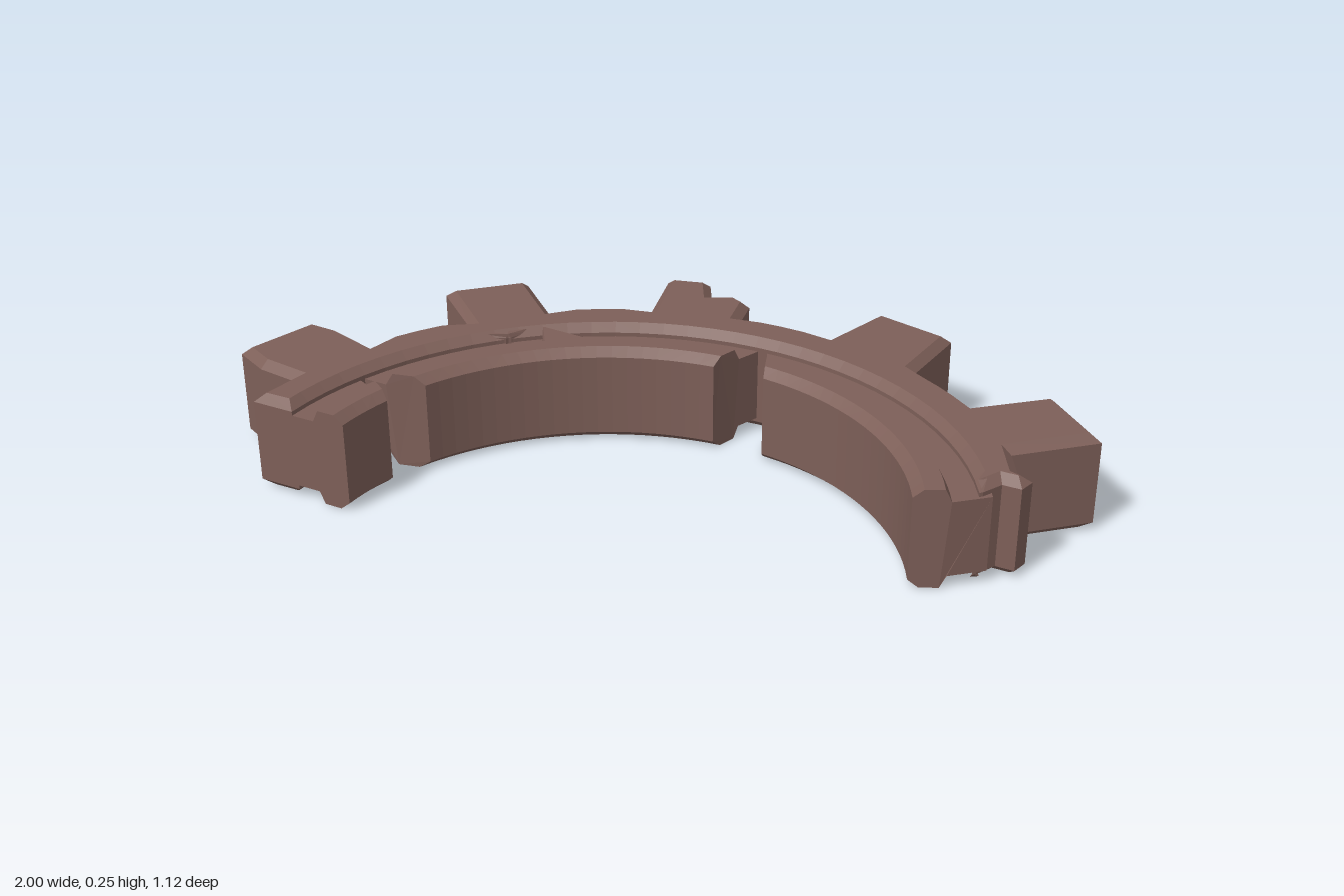
import * as THREE from 'three';

const CX = 0.115, CZ = 0.56;          // centre of the full gear
const LOW = 0.005, TOP = 0.25;
const LEFT_END = -Math.PI / 2;

// point on a circle; angle 0 points to the back (-z), positive towards +x
const polar = (r, a) => [CX + r * Math.sin(a), CZ - r * Math.cos(a)];
const angleOf = ([x, z]) => Math.atan2(x - CX, CZ - z);

function arc(r, a0, a1, n) {
  return Array.from({ length: n + 1 }, (_, i) => polar(r, a0 + (a1 - a0) * i / n));
}

// extrudes an [x, z] outline upwards with chamfered edges
function slab(outline, y0, y1, bevel, chamfer) {
  const shape = new THREE.Shape(outline.map(([x, z]) => new THREE.Vector2(x, -z)));
  const g = new THREE.ExtrudeGeometry(shape, {
    depth: y1 - y0 - 2 * chamfer, bevelEnabled: true, bevelSegments: 1,
    bevelSize: bevel, bevelOffset: -bevel, bevelThickness: chamfer,
  });
  g.rotateX(-Math.PI / 2);
  g.translate(0, y0 + chamfer, 0);
  return g;
}

// sweeps a closed [r, y] section between two ends whose angle depends on r
function sweep(section, startAt, endAt, n) {
  const pos = [], idx = [], m = section.length;
  for (let i = 0; i <= n; i++) {
    for (const [r, y] of section) {
      const a = THREE.MathUtils.lerp(startAt(r), endAt(r), i / n);
      const [x, z] = polar(r, a);
      pos.push(x, y, z);
    }
  }
  for (let i = 0; i < n; i++) {
    for (let j = 0; j < m; j++) {
      const a = i * m + j, b = i * m + (j + 1) % m;
      idx.push(a, b, a + m, b, b + m, a + m);
    }
  }
  // end caps
  const tris = THREE.ShapeUtils.triangulateShape(section.map(([r, y]) => new THREE.Vector2(r, y)), []);
  for (const [a, b, c] of tris) {
    idx.push(a, c, b);
    idx.push(n * m + a, n * m + b, n * m + c);
  }
  const g = new THREE.BufferGeometry();
  g.setAttribute('position', new THREE.Float32BufferAttribute(pos, 3));
  g.setIndex(idx);
  const flat = g.toNonIndexed();
  flat.computeVertexNormals();
  return flat;
}

// side of a V-shaped crack: closed at apexR, reaching "inner" at the bore
const crackSide = (apex, apexR, inner) => (r) =>
  THREE.MathUtils.lerp(inner, apex, Math.min(1, (r - 0.67) / (apexR - 0.67)));

export function createModel() {
  const group = new THREE.Group();
  const material = new THREE.MeshStandardMaterial({
    color: 0x7d5f58, flatShading: true, side: THREE.DoubleSide,
  });
  const add = (name, geometry) => {
    const mesh = new THREE.Mesh(geometry, material);
    mesh.name = name;
    group.add(mesh);
  };

  // toothed rim: teeth from left to right, the third one broken
  const teeth = [
    [[-0.795, 0.43], [-0.905, 0.415], [-1, 0.37], [-0.945, 0.16], [-0.85, 0.165], [-0.73, 0.205]],
    [[-0.59, -0.02], [-0.755, -0.16], [-0.6, -0.315], [-0.445, -0.175]],
    [[-0.225, -0.3], [-0.28, -0.505], [-0.17, -0.535], [-0.125, -0.455], [-0.07, -0.485], [-0.02, -0.46], [0, -0.365]],
    [[0.245, -0.365], [0.3, -0.56], [0.515, -0.505], [0.5, -0.3]],
    [[0.69, -0.18], [0.84, -0.315], [1, -0.165], [0.84, -0.015]],
  ];
  const brokenEnd = [[0.885, 0.07], [0.92, 0.08], [0.91, 0.12], [0.865, 0.12], [0.84, 0.17]];
  const outline = [polar(0.925, LEFT_END)];
  teeth.forEach((tooth, i) => {
    outline.push(...tooth);
    if (i < teeth.length - 1) {
      const a0 = angleOf(tooth[tooth.length - 1]), a1 = angleOf(teeth[i + 1][0]);
      outline.push(...arc(0.937, a0, a1, 4).slice(1, -1));
    }
  });
  outline.push(...brokenEnd, ...arc(0.815, 1.08, LEFT_END, 36));
  add('toothedRim', slab(outline, LOW, TOP, 0.022, 0.02));

  // grooved inner ring, split by two cracks
  const section = [
    [0.67, 0.025], [0.695, LOW], [0.74, LOW], [0.755, 0.035], [0.845, 0.035],
    [0.845, 0.22], [0.755, 0.22], [0.74, TOP], [0.695, TOP], [0.67, 0.23],
  ];
  const rightEnd = (r) => (r < 0.76 ? 1.11 : 1.08);
  add('innerRingLeft', sweep(section, () => LEFT_END, crackSide(-1.287, 0.79, -1.346), 5));
  add('innerRingMiddle', sweep(section, crackSide(-1.287, 0.79, -1.177), crackSide(0, 0.84, -0.09), 20));
  add('innerRingRight', sweep(section, crackSide(0, 0.84, 0.11), rightEnd, 20));

  // splinters lying across the groove
  const splinters = [
    [[-0.51, -0.1], [-0.43, -0.07], [-0.47, 0.0]],
    [[-0.42, -0.09], [-0.25, -0.08], [-0.34, 0.03]],
    [[-0.55, 0.01], [-0.46, -0.01], [-0.53, 0.03]],
  ];
  splinters.forEach((tri, i) => add(`splinter${i + 1}`, slab(tri, 0.2, 0.245, 0.005, 0.01)));

  return group;
}
